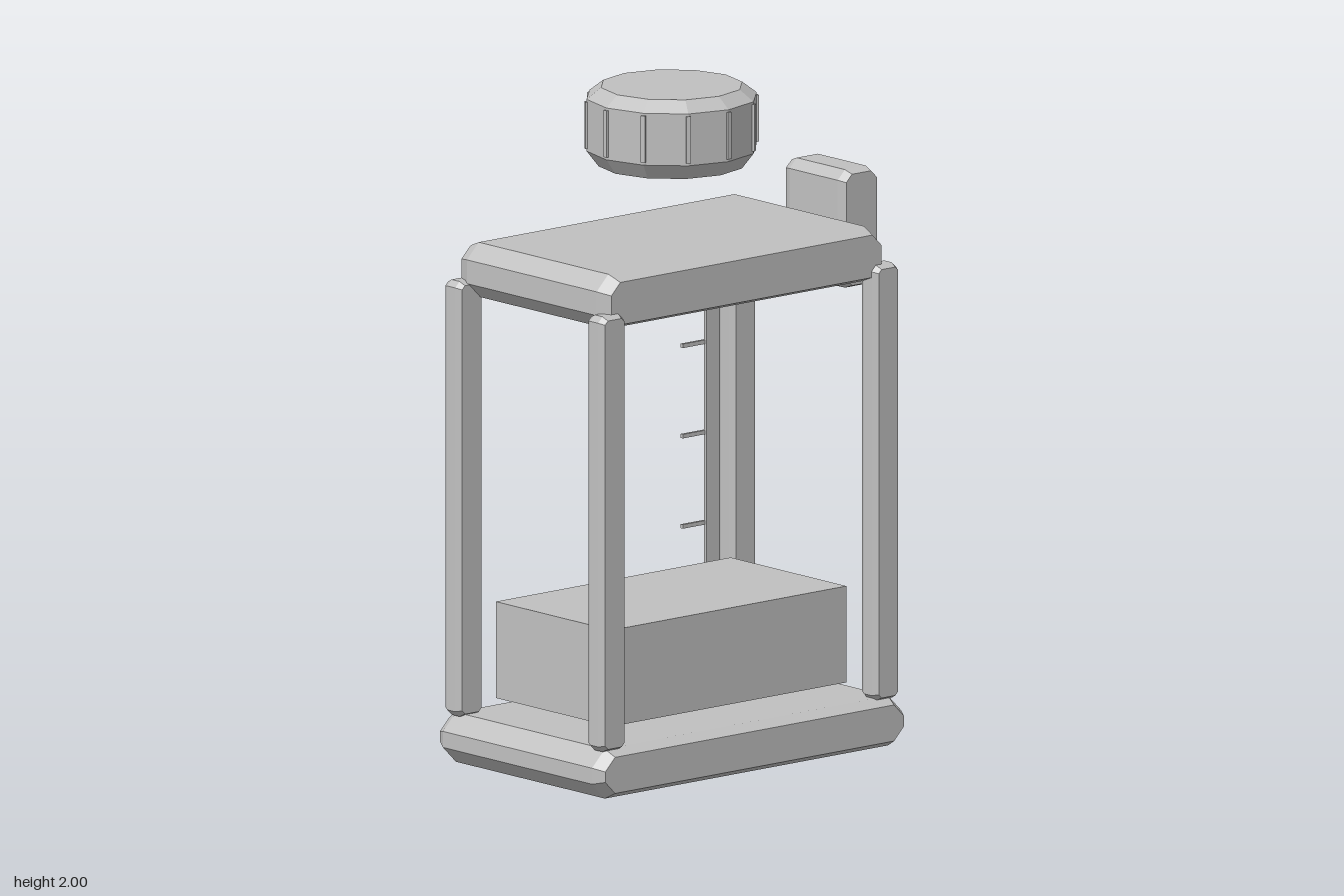
import * as THREE from 'three';

const grey = new THREE.MeshStandardMaterial({ color: 0xc0c0c0 });
grey.name = 'grey';

function add(parent, name, geometry) {
  const mesh = new THREE.Mesh(geometry, grey);
  mesh.name = name;
  parent.add(mesh);
  return mesh;
}

// Plain box between two corners
function box(parent, name, [x0, x1], [y0, y1], [z0, z1]) {
  const mesh = add(parent, name, new THREE.BoxGeometry(x1 - x0, y1 - y0, z1 - z0));
  mesh.position.set((x0 + x1) / 2, (y0 + y1) / 2, (z0 + z1) / 2);
  return mesh;
}

// Box with cut corners in the xy outline and a single bevel at the front and back
function chamferBox(parent, name, [x0, x1], [y0, y1], [z0, z1], cut, size, depth) {
  const w = (x1 - x0) / 2 - size, h = (y1 - y0) / 2 - size, c = cut - size * 0.586;
  const outline = [
    [w - c, -h], [w, -h + c], [w, h - c], [w - c, h],
    [-w + c, h], [-w, h - c], [-w, -h + c], [-w + c, -h],
  ].map(([x, y]) => new THREE.Vector2(x, y));
  const length = z1 - z0 - 2 * depth;
  const geometry = new THREE.ExtrudeGeometry(new THREE.Shape(outline), {
    depth: length, steps: 1, bevelEnabled: true,
    bevelSegments: 1, bevelSize: size, bevelThickness: depth,
  });
  geometry.translate((x0 + x1) / 2, (y0 + y1) / 2, (z0 + z1) / 2 - length / 2);
  return add(parent, name, geometry);
}

export function createModel() {
  const model = new THREE.Group();
  model.name = 'canister';

  // Base and top slabs
  chamferBox(model, 'base', [-0.645, 0.552], [0, 0.148], [-0.367, 0.367], 0.05, 0.02, 0.036);
  chamferBox(model, 'topSlab', [-0.59, 0.493], [1.39, 1.553], [-0.333, 0.333], 0.046, 0.018, 0.045);

  // Four corner posts
  for (const x of [-0.625, 0.435]) {
    for (const z of [-0.355, 0.28]) {
      chamferBox(model, 'cornerPost', [x, x + 0.095], [0.142, 1.443], [z, z + 0.075], 0.017, 0.01, 0.02);
    }
  }

  // Contents block
  box(model, 'contents', [-0.505, 0.405], [0.19, 0.478], [-0.257, 0.257]);

  // Level gauge with marks, at the back
  const gauge = new THREE.Group();
  gauge.name = 'levelGauge';
  model.add(gauge);
  box(gauge, 'gaugeStrip', [0.39, 0.47], [0.17, 1.395], [-0.359, -0.347]);
  for (let i = 0; i < 4; i++) {
    const y = 0.298 + i * 0.27;
    box(gauge, 'gaugeMark', [0.305, 0.465], [y - 0.006, y + 0.006], [-0.365, -0.355]);
  }

  // Side catch
  chamferBox(model, 'sideCatch', [0.502, 0.64], [1.327, 1.68], [-0.134, 0.134], 0.028, 0.01, 0.027);

  // Twelve-sided cap with grip ribs, floating above the top
  const cap = new THREE.Group();
  cap.name = 'cap';
  cap.position.x = -0.048;
  model.add(cap);
  const profile = [[0, 1.765], [0.217, 1.765], [0.253, 1.812], [0.253, 1.967], [0.21, 2], [0, 2]]
    .map(([r, y]) => new THREE.Vector2(r, y));
  const capBody = new THREE.LatheGeometry(profile, 12).toNonIndexed();
  capBody.computeVertexNormals();
  add(cap, 'capBody', capBody);
  for (let i = 0; i < 12; i++) {
    const angle = i * Math.PI / 6;
    const rib = add(cap, 'gripRib', new THREE.BoxGeometry(0.014, 0.14, 0.016));
    rib.position.set(Math.sin(angle) * 0.25, 1.89, Math.cos(angle) * 0.25);
    rib.rotation.y = angle;
  }

  return model;
}
